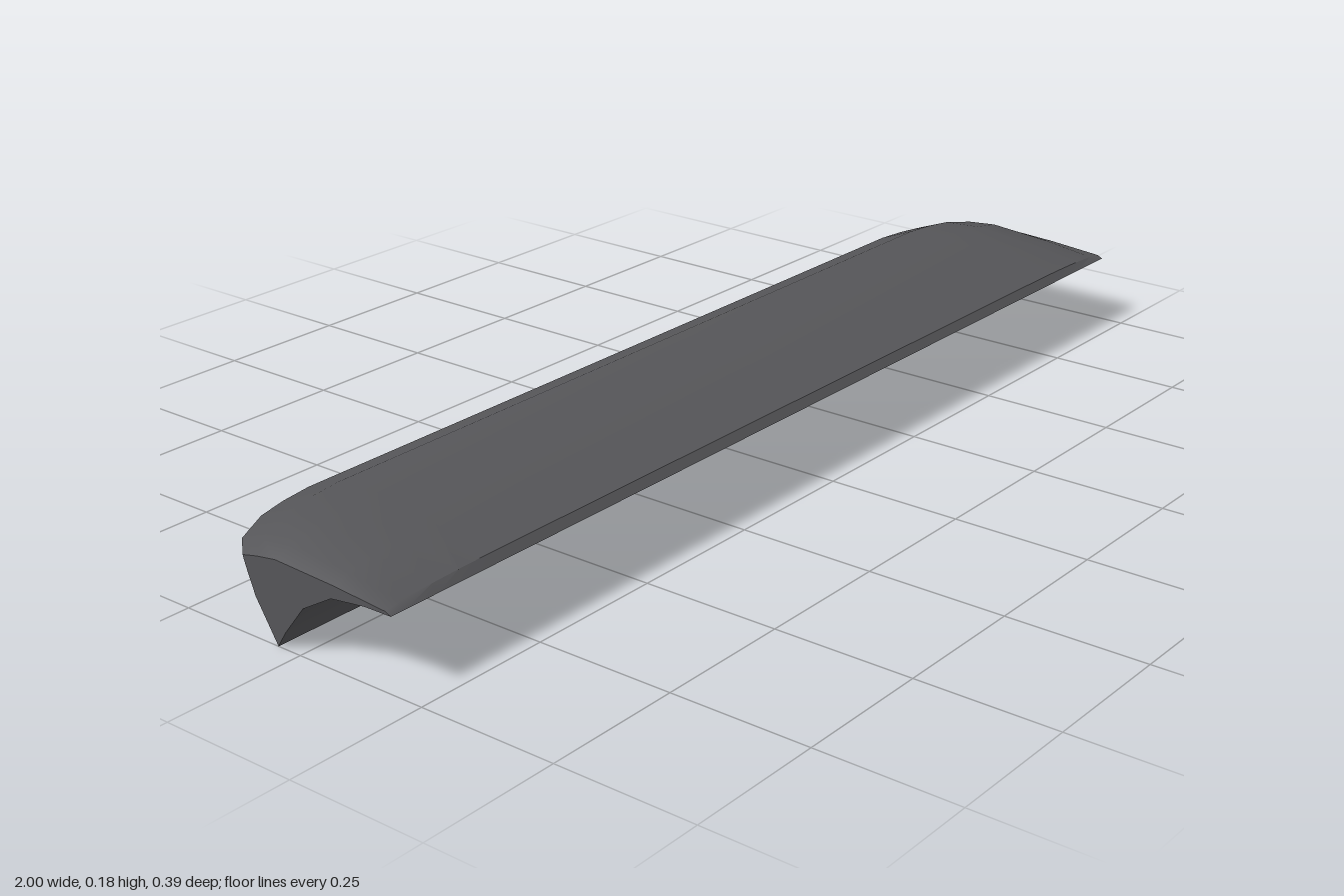
import * as THREE from 'three';
import { toCreasedNormals } from 'three/addons/utils/BufferGeometryUtils.js';

// Cross-sections as [z, y]: front lip, over the top, down the back to the foot
const OUTER_MID = [[0.198, 0.127], [0.186, 0.141], [0.08, 0.163], [-0.04, 0.178], [-0.125, 0.173],
  [-0.195, 0.145], [-0.197, 0.135], [-0.19, 0.118], [-0.165, 0.07], [-0.104, 0]];
const OUTER_END = [[0.198, 0.127], [0.187, 0.132], [0.08, 0.14], [-0.04, 0.145], [-0.08, 0.139],
  [-0.112, 0.132], [-0.11, 0.125], [-0.105, 0.11], [-0.09, 0.07], [-0.047, 0]];
// Concave underside, from the foot back to the lip
const INNER = [[-0.047, 0], [-0.03, 0.027], [0.013, 0.081], [0.075, 0.117], [0.145, 0.126]];

const NOTCH_R = 0.053, NOTCH_BASE = 0.013;

// Raises the foot of a chain to height h, sliding points along the chain
function clip(chain, h) {
  return chain.map(([z, y]) => {
    if (y >= h) return [z, y];
    for (let i = 0; i < chain.length - 1; i++) {
      const [z0, y0] = chain[i], [z1, y1] = chain[i + 1];
      if ((y0 - h) * (y1 - h) <= 0 && y0 !== y1) {
        return [z0 + (z1 - z0) * (h - y0) / (y1 - y0), h];
      }
    }
    return [z, y];
  });
}

// Closed section at x; t = 1 is the full middle shape, t = 0 the slim end
function section(x, t, h) {
  const outer = OUTER_END.map(([z, y], i) => [
    THREE.MathUtils.lerp(z, OUTER_MID[i][0], t),
    THREE.MathUtils.lerp(y, OUTER_MID[i][1], t)]);
  return [...clip(outer, h), ...clip(INNER, h)].map(([z, y]) => new THREE.Vector3(x, y, z));
}

function shellGeometry() {
  // Rounded ends, then the arch-shaped notch in the middle
  const ends = [[1, 0], [0.97, 0.42], [0.905, 0.78], [0.85, 0.92], [0.79, 1]];
  const sections = ends.map(([x, t]) => section(-x, t, 0));
  sections.push(section(-NOTCH_R, 1, 0));
  const steps = 16;
  for (let i = 0; i <= steps; i++) {
    const a = Math.PI * (1 - i / steps);
    sections.push(section(NOTCH_R * Math.cos(a), 1, NOTCH_BASE + NOTCH_R * Math.sin(a)));
  }
  sections.push(section(NOTCH_R, 1, 0));
  ends.slice().reverse().forEach(([x, t]) => sections.push(section(x, t, 0)));

  const positions = [];
  const tri = (a, b, c) => {
    const area = b.clone().sub(a).cross(c.clone().sub(a)).length();
    if (area > 1e-9) for (const p of [a, b, c]) positions.push(p.x, p.y, p.z);
  };

  // Skin between neighbouring sections
  for (let i = 0; i < sections.length - 1; i++) {
    const s = sections[i], n = sections[i + 1];
    for (let j = 0; j < s.length; j++) {
      const k = (j + 1) % s.length;
      tri(s[j], n[j], n[k]);
      tri(s[j], n[k], s[k]);
    }
  }

  // Flat end faces, turned outward
  for (const s of [sections[0], sections[sections.length - 1]]) {
    const ring = s.filter((p, i) => i === 0 || p.distanceTo(s[i - 1]) > 1e-6);
    const flat = ring.map((p) => new THREE.Vector2(p.z, p.y));
    for (const [a, b, c] of THREE.ShapeUtils.triangulateShape(flat, [])) {
      const A = ring[a], B = ring[b], C = ring[c];
      const nx = B.clone().sub(A).cross(C.clone().sub(A)).x;
      if (nx * A.x > 0) tri(A, B, C); else tri(A, C, B);
    }
  }

  const g = new THREE.BufferGeometry();
  g.setAttribute('position', new THREE.Float32BufferAttribute(positions, 3));
  return toCreasedNormals(g, 0.6);
}

export function createModel() {
  const group = new THREE.Group();
  group.name = 'curvedBar';
  const shell = new THREE.Mesh(shellGeometry(), new THREE.MeshStandardMaterial({ color: 0x555558 }));
  shell.name = 'notchedShell';
  group.add(shell);
  return group;
}
